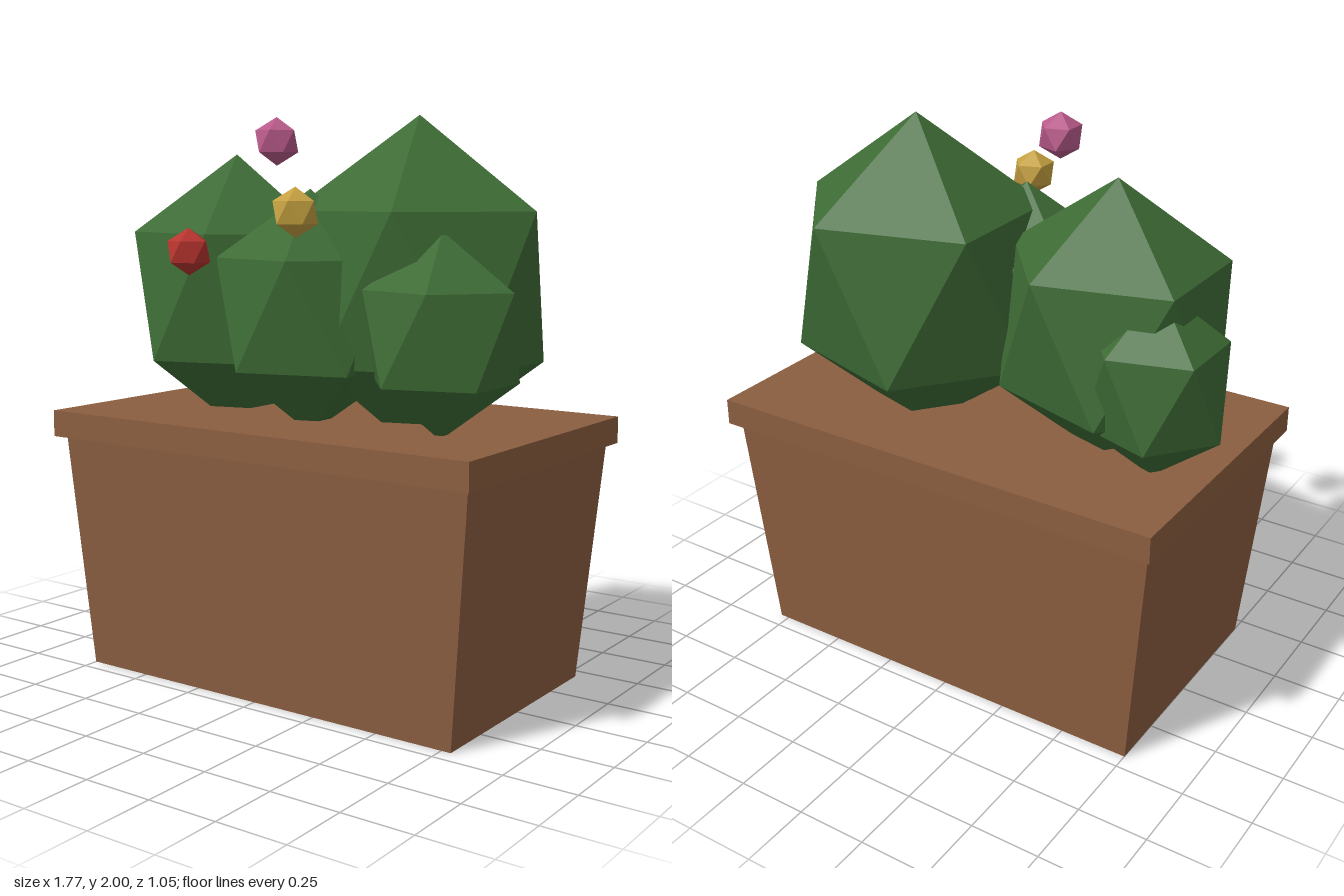
import * as THREE from 'three';

const flat = (name, color) => {
  const m = new THREE.MeshStandardMaterial({ color, flatShading: true });
  m.name = name;
  return m;
};

// Icosahedron with one corner straight up and an upper-ring corner towards +x
function uprightIcosahedron() {
  const t = (1 + Math.sqrt(5)) / 2;
  return new THREE.IcosahedronGeometry(1, 0).rotateZ(-Math.atan(1 / t));
}

// Box whose lower end is narrower than its upper end
function taperedBox(topW, topD, bottomW, bottomD, height) {
  const g = new THREE.BoxGeometry(topW, height, topD).translate(0, height / 2, 0);
  const p = g.attributes.position;
  for (let i = 0; i < p.count; i++) {
    if (p.getY(i) < height / 2) {
      p.setX(i, p.getX(i) * bottomW / topW);
      p.setZ(i, p.getZ(i) * bottomD / topD);
    }
  }
  g.computeVertexNormals();
  return g;
}

export function createModel() {
  const model = new THREE.Group();
  model.name = 'flowerPlanter';
  const clay = flat('clayBrown', 0x8b5e40);
  const leaf = flat('leafGreen', 0x3d6b35);
  const red = flat('flowerRed', 0xb8342e);
  const yellow = flat('flowerYellow', 0xc4a040);
  const pink = flat('flowerPink', 0xb85a8a);

  const add = (name, geometry, material, position, scale = [1, 1, 1]) => {
    const mesh = new THREE.Mesh(geometry, material);
    mesh.name = name;
    mesh.position.set(...position);
    mesh.scale.set(...scale);
    model.add(mesh);
  };

  // Tapered pot and its projecting rim
  const potX = 0.017;
  add('pot', taperedBox(1.685, 0.975, 1.535, 0.885, 0.86), clay, [potX, 0, 0]);
  add('rim', new THREE.BoxGeometry(1.735, 0.095, 1.055), clay, [potX, 0.905, 0]);

  // Bushes: centre and radii
  const ball = uprightIcosahedron();
  const bushes = [
    ['largeBush', [0.323, 1.415, -0.085], [0.505, 0.585, 0.462]],
    ['mediumBush', [-0.41, 1.365, 0], [0.444, 0.51, 0.395]],
    ['frontBush', [0.02, 1.325, 0.135], [0.38, 0.425, 0.335]],
    ['smallLeftBush', [0.57, 1.275, 0.17], [0.295, 0.34, 0.273]],
    ['smallRightBush', [-0.646, 1.26, -0.137], [0.268, 0.335, 0.25]],
  ];
  for (const [name, centre, radii] of bushes) add(name, ball, leaf, centre, radii);

  // Flowers
  const bloom = [0.082, 0.082, 0.082];
  add('redFlower', ball, red, [-0.325, 1.535, 0.375], bloom);
  add('yellowFlower', ball, yellow, [0.185, 1.675, 0.443], bloom);
  add('pinkFlower', ball, pink, [-0.07, 1.91, 0.205], bloom);

  return model;
}
